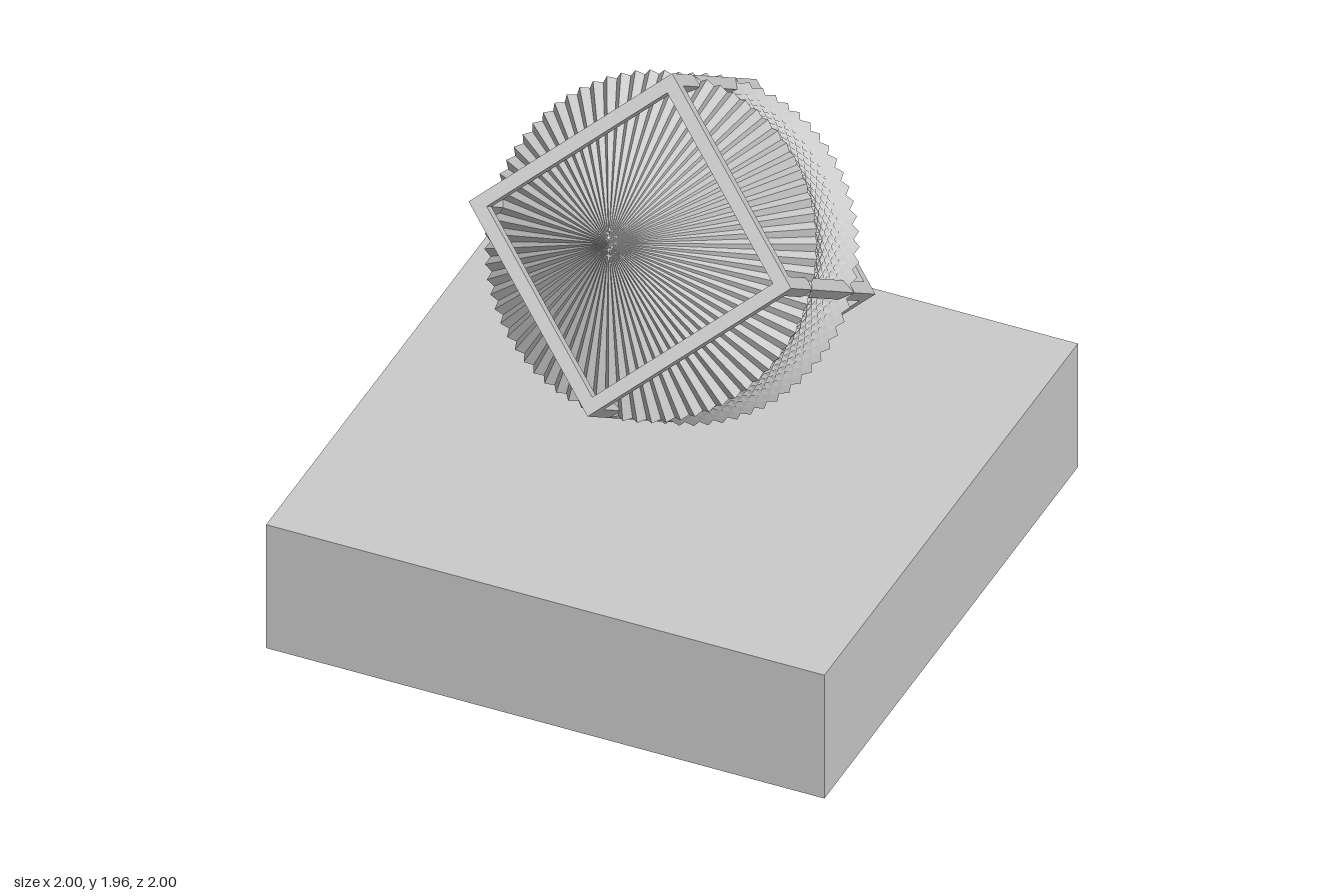
import * as THREE from 'three';

const CENTRE_Y = 1.255;      // height of the sculpture's centre
const FRAME = 0.8165;        // outer edge of the open cube frame
const BAR = 0.046;           // thickness of the frame bars
const CUBE = Math.SQRT1_2;   // edge of each cube in the swept stack
const STEPS = 24;            // cubes spread over a third of a turn

export function createModel() {
  const model = new THREE.Group();
  model.name = 'cubeSculpture';
  const grey = new THREE.MeshStandardMaterial({ color: 0xcccccc, flatShading: true });

  const addBox = (parent, name, w, h, d, x = 0, y = 0, z = 0) => {
    const mesh = new THREE.Mesh(new THREE.BoxGeometry(w, h, d), grey);
    mesh.name = name;
    mesh.position.set(x, y, z);
    parent.add(mesh);
    return mesh;
  };

  // Square plinth
  addBox(model, 'plinth', 2, 0.5, 2, 0, 0.25, 0);

  // Open cube frame balanced on one corner
  const frame = new THREE.Group();
  frame.name = 'cubeFrame';
  frame.position.y = CENTRE_Y;
  const a = 1 / Math.sqrt(3), b = Math.SQRT1_2, c = 1 / Math.sqrt(6);
  frame.quaternion.setFromRotationMatrix(new THREE.Matrix4().makeBasis(
    new THREE.Vector3(0, a, 2 * c),
    new THREE.Vector3(b, a, -c),
    new THREE.Vector3(-b, a, -c)
  ));
  const off = (FRAME - BAR) / 2, inner = FRAME - 2 * BAR;
  for (const s of [-off, off]) {
    for (const t of [-off, off]) {
      addBox(frame, 'frameBar', FRAME, BAR, BAR, 0, s, t);
      addBox(frame, 'frameBar', BAR, inner, BAR, s, 0, t);
      addBox(frame, 'frameBar', BAR, BAR, inner, s, t, 0);
    }
  }
  model.add(frame);

  // Solid cubes turned step by step about a shared body diagonal
  const sweep = new THREE.Group();
  sweep.name = 'turnedCubes';
  sweep.position.y = CENTRE_Y;
  const axis = new THREE.Vector3(0, CUBE / 2, 0.5).normalize();
  const start = new THREE.Quaternion().setFromAxisAngle(new THREE.Vector3(0, 1, 0), Math.PI / 4);
  for (let i = 0; i < STEPS; i++) {
    const cube = addBox(sweep, 'turnedCube', CUBE, CUBE, CUBE);
    cube.quaternion.setFromAxisAngle(axis, (i / STEPS) * (2 * Math.PI / 3)).multiply(start);
  }
  model.add(sweep);

  return model;
}
